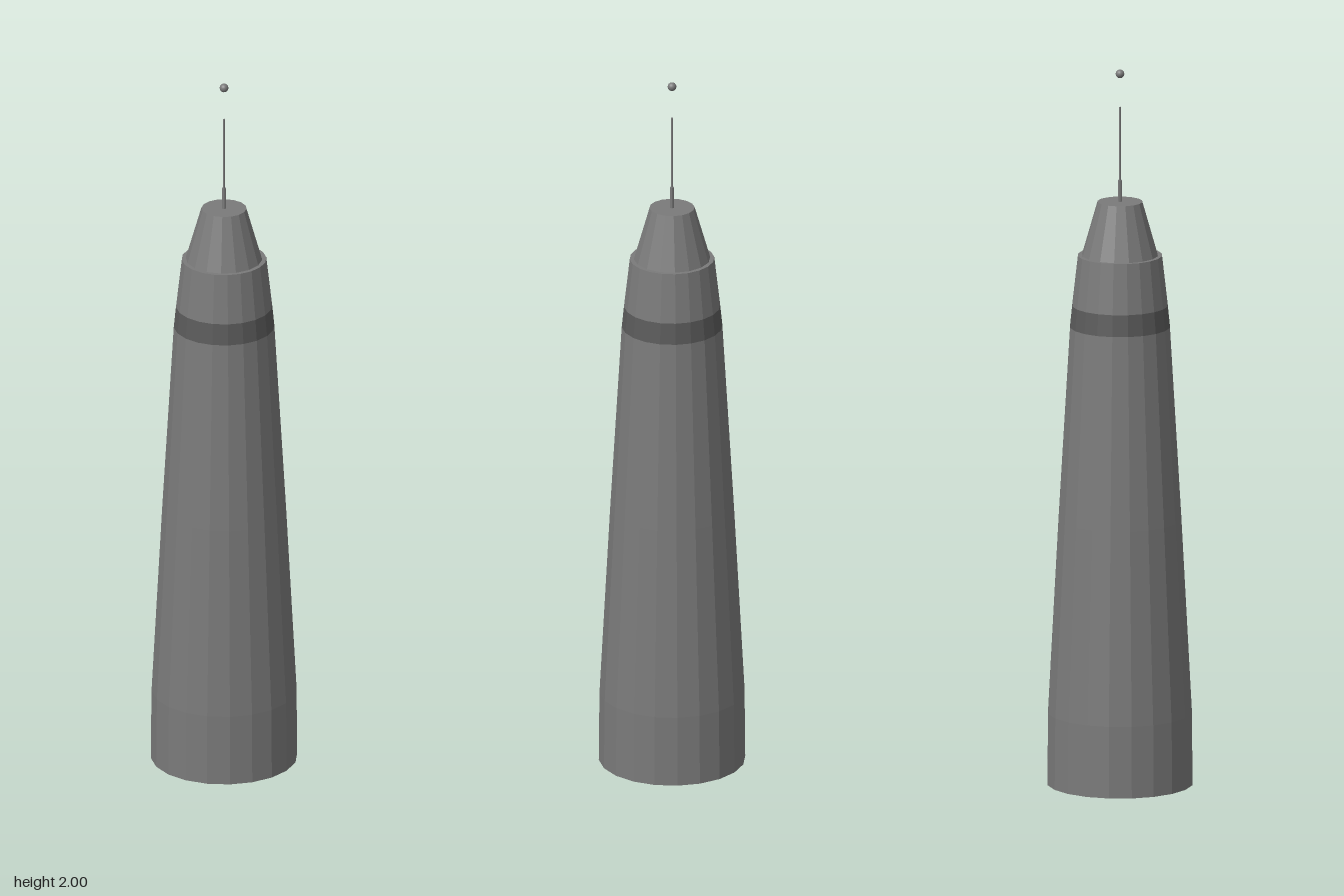
import * as THREE from 'three';

const grey = new THREE.MeshStandardMaterial({ color: 0x7a7a7a, flatShading: true });
const smoothGrey = new THREE.MeshStandardMaterial({ color: 0x7a7a7a });
const dark = new THREE.MeshStandardMaterial({ color: 0x5a5a5a, flatShading: true });

export function createModel() {
  const model = new THREE.Group();

  const add = (name, geometry, material = grey) => {
    const mesh = new THREE.Mesh(geometry, material);
    mesh.name = name;
    model.add(mesh);
    return mesh;
  };

  // Turned part from [radius, height] points, bottom to top
  const lathe = (name, points, sides, material) =>
    add(name, new THREE.LatheGeometry(points.map(([r, y]) => new THREE.Vector2(r, y)), sides), material);

  // Tapering tower, split around the dark band
  lathe('towerShaft', [[0, 0], [0.201, 0], [0.199, 0.2], [0.17, 0.74], [0.138, 1.28]], 20);
  lathe('darkBand', [[0.138, 1.28], [0.132, 1.34]], 20, dark);
  lathe('towerTop', [[0.132, 1.34], [0.116, 1.48], [0, 1.48]], 20);

  // Truncated cone roof
  lathe('roofCone', [[0.105, 1.48], [0.062, 1.63], [0, 1.63]], 16);

  // Mast: thick socket, thin rod and a separate ball above
  lathe('mastSocket', [[0.006, 1.63], [0.006, 1.69], [0, 1.69]], 8);
  lathe('mastRod', [[0.003, 1.63], [0.003, 1.895], [0, 1.895]], 8);
  add('beacon', new THREE.SphereGeometry(0.012, 16, 12), smoothGrey).position.y = 1.988;

  return model;
}
